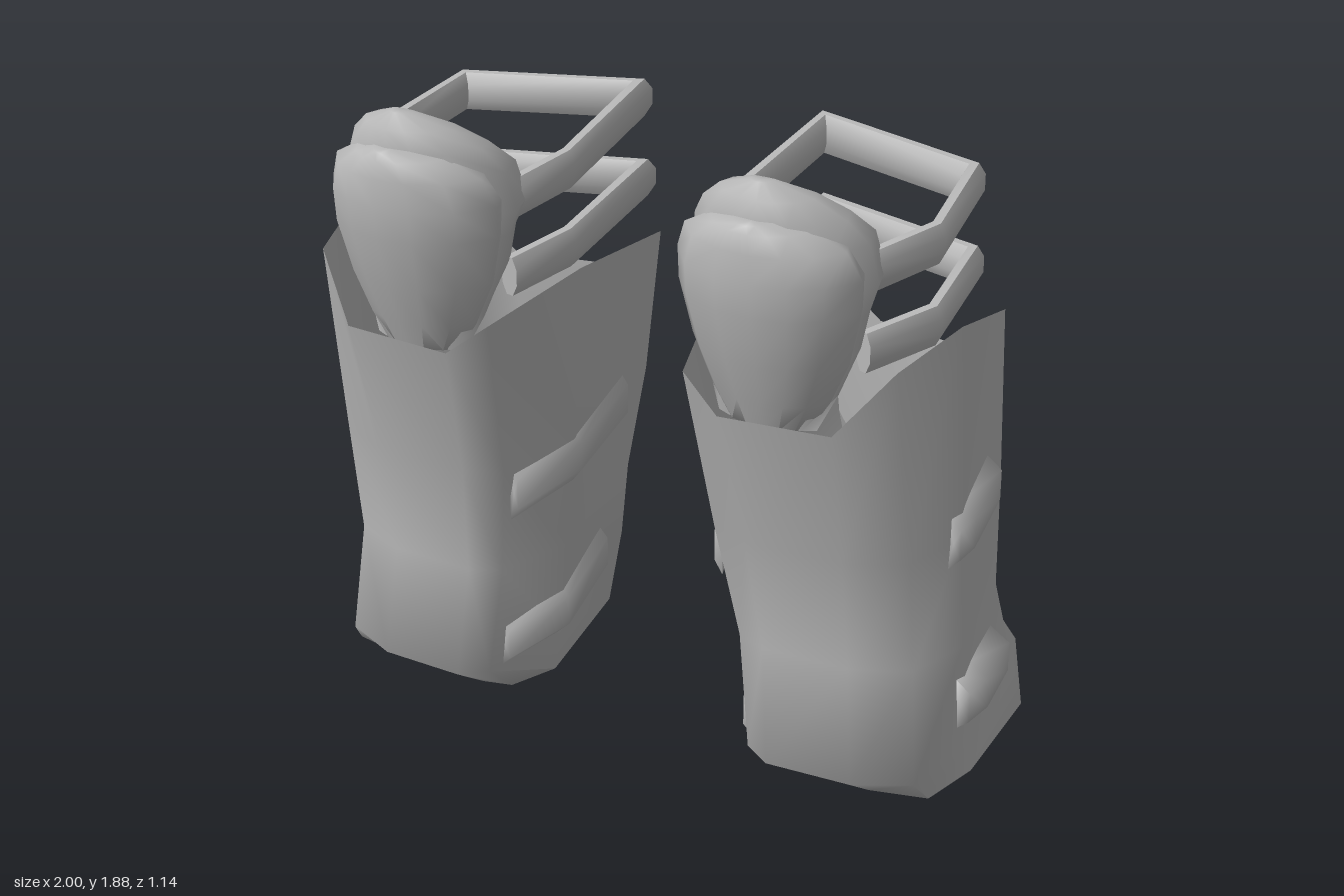
import * as THREE from 'three';
import { toCreasedNormals } from 'three/addons/utils/BufferGeometryUtils.js';

const steel = new THREE.MeshStandardMaterial({ color: 0xb8b8b8, side: THREE.DoubleSide });
steel.name = 'plain grey';

// Skin over rings of [x, y, z] points, capped at the start and, unless open, at the end;
// side = -1 mirrors it in x.
function loft(rings, side, crease, open = false) {
  const n = rings[0].length, pos = [], index = [];
  const tri = (a, b, c) => (side > 0 ? index.push(a, b, c) : index.push(a, c, b));
  rings.flat().forEach(([x, y, z]) => pos.push(x * side, y, z));
  for (let i = 0; i < rings.length - 1; i++) {
    for (let j = 0; j < n; j++) {
      const a = i * n + j, b = i * n + (j + 1) % n;
      tri(a, b, b + n);
      tri(a, b + n, a + n);
    }
  }
  (open ? [0] : [0, rings.length - 1]).forEach((r) => {
    const mid = [0, 1, 2].map((k) => rings[r].reduce((s, p) => s + p[k], 0) / n);
    const c = pos.length / 3;
    pos.push(mid[0] * side, mid[1], mid[2]);
    for (let j = 0; j < n; j++) {
      const a = r * n + j, b = r * n + (j + 1) % n;
      if (r === 0) tri(c, b, a); else tri(c, a, b);
    }
  });
  const g = new THREE.BufferGeometry();
  g.setAttribute('position', new THREE.Float32BufferAttribute(pos, 3));
  g.setIndex(index);
  return toCreasedNormals(g, crease);
}

// Shell cross-sections: inner side, round the front, outer side, back.
const rim = [
  [0.205, 1.36, 0.08], [0.295, 1.3, 0.43], [0.41, 1.21, 0.46], [0.73, 1.22, 0.45], [0.865, 1.39, 0.36],
  [0.93, 1.43, 0.1], [0.86, 1.28, -0.38], [0.72, 1.12, -0.43], [0.45, 1.12, -0.48], [0.27, 1.25, -0.5],
];
const waist = [[0.25, 0.05], [0.33, 0.31], [0.44, 0.35], [0.72, 0.34], [0.88, 0.26],
  [0.94, 0.05], [0.89, -0.34], [0.72, -0.43], [0.46, -0.51], [0.32, -0.5]];
const ankle = [[0.3, 0.02], [0.38, 0.25], [0.47, 0.29], [0.72, 0.28], [0.88, 0.21],
  [0.945, 0.02], [0.89, -0.35], [0.75, -0.44], [0.5, -0.545], [0.39, -0.51]];
const heel = [[0.34, 0], [0.42, 0.27], [0.5, 0.32], [0.75, 0.31], [0.91, 0.24],
  [0.97, 0], [0.95, -0.37], [0.9, -0.51], [0.5, -0.57], [0.43, -0.54]];
const sole = [[0.36, 0], [0.42, 0.15], [0.5, 0.18], [0.76, 0.2], [0.93, 0.18],
  [0.98, 0], [0.97, -0.4], [0.89, -0.48], [0.5, -0.46], [0.42, -0.44]];

const lift = (ring, f) => ring.map(([x, z]) => [x, f(x, z), z]);

function shell(side) {
  return loft([
    lift(sole, (x) => (x - 0.36) * 0.08),
    lift(heel, (x, z) => 0.14 - 0.1 * z),
    lift(ankle, () => 0.45),
    lift(waist, () => 0.8),
    rim,
  ], side, 1.3, true);
}

// Knee pad pieces: D-shaped sections, [y, front z, back z, half width]
const cupRows = [
  [1.2, 0.43, 0.38, 0.14], [1.3, 0.46, 0.32, 0.185], [1.43, 0.49, 0.26, 0.23], [1.54, 0.51, 0.26, 0.255],
  [1.6, 0.52, 0.21, 0.265], [1.71, 0.52, 0.24, 0.245], [1.78, 0.51, 0.31, 0.2], [1.84, 0.51, 0.38, 0.13],
  [1.88, 0.48, 0.44, 0.03],
];
const plateRows = [
  [1.2, 0.45, 0.36, 0.12], [1.28, 0.48, 0.34, 0.17], [1.4, 0.52, 0.32, 0.222], [1.55, 0.56, 0.32, 0.256],
  [1.64, 0.57, 0.32, 0.258], [1.72, 0.567, 0.36, 0.225], [1.77, 0.56, 0.4, 0.14], [1.79, 0.55, 0.46, 0.06],
];
function padPiece(side, rows) {
  const section = [[-0.88, 0], [-1, 0.35], [-0.72, 0.75], [-0.3, 0.96], [0.1, 1],
    [0.45, 0.92], [0.76, 0.72], [1, 0.35], [0.88, 0], [0, -0.03]];
  return loft(rows.map(([y, f, b, w]) => section.map(([x, t]) => [0.525 + x * w, y, b + t * (f - b)])), side, 1.2);
}

// Strap: a flattened band with mitred corners running round the back of the knee
function strap(side, yFront, yBack, zBack) {
  const path = [[0.73, 0.27], [0.83, 0.06], [0.79, zBack + 0.13], [0.29, zBack], [0.265, 0.05], [0.32, 0.27]]
    .map(([x, z]) => new THREE.Vector3(x, THREE.MathUtils.mapLinear(z, 0.25, -0.4, yFront, yBack), z));
  const up = new THREE.Vector3(0, 1, 0);
  const normal = (a, b) => b.clone().sub(a).setY(0).normalize().cross(up);
  const rings = path.map((p, i) => {
    const n1 = normal(path[Math.max(i - 1, 0)], path[Math.max(i, 1)]);
    const n2 = normal(path[Math.min(i, path.length - 2)], path[Math.min(i + 1, path.length - 1)]);
    const n = n1.clone().add(n2).normalize();
    n.divideScalar(n.dot(n1));
    return Array.from({ length: 8 }, (_, k) => {
      const a = (k + 0.5) * Math.PI / 4;
      const s = 0.03 * Math.cos(a);
      return [p.x + n.x * s, p.y - 0.06 * Math.sin(a), p.z + n.z * s];
    });
  });
  return loft(rings, side, 0.9);
}

// Raised band lying on the shell, stations [face x, root x, y, z]
function band(side, stations) {
  return loft(stations.map(([face, root, y, z]) => [
    [face, y - 0.045, z], [root, y - 0.085, z], [root, y + 0.085, z], [face, y + 0.045, z],
  ]), side, 1.7);
}

export function createModel() {
  const model = new THREE.Group();
  model.name = 'legArmorPair';
  for (const side of [1, -1]) {
    const leg = new THREE.Group();
    leg.name = side > 0 ? 'leftGuard' : 'rightGuard';
    const add = (name, geometry) => {
      const mesh = new THREE.Mesh(geometry, steel);
      mesh.name = name;
      leg.add(mesh);
    };
    add('shinShell', shell(side));
    add('kneeCup', padPiece(side, cupRows));
    add('kneePlate', padPiece(side, plateRows));
    add('upperStrap', strap(side, 1.605, 1.685, -0.405));
    add('lowerStrap', strap(side, 1.385, 1.435, -0.425));
    add('outerUpperBand', band(side, [[0.955, 0.915, 0.8, 0.1], [0.968, 0.925, 0.81, 0.03], [0.945, 0.895, 0.845, -0.2]]));
    add('outerLowerBand', band(side, [[0.985, 0.935, 0.28, 0.05], [1.0, 0.94, 0.28, -0.05], [0.975, 0.915, 0.28, -0.26]]));
    add('innerUpperBand', band(side, [[0.272, 0.3, 0.79, -0.3], [0.235, 0.265, 0.76, 0.04], [0.31, 0.335, 0.72, 0.27]]));
    add('innerLowerBand', band(side, [[0.345, 0.38, 0.26, -0.3], [0.302, 0.345, 0.22, 0.01], [0.38, 0.42, 0.19, 0.22]]));
    model.add(leg);
  }
  return model;
}
